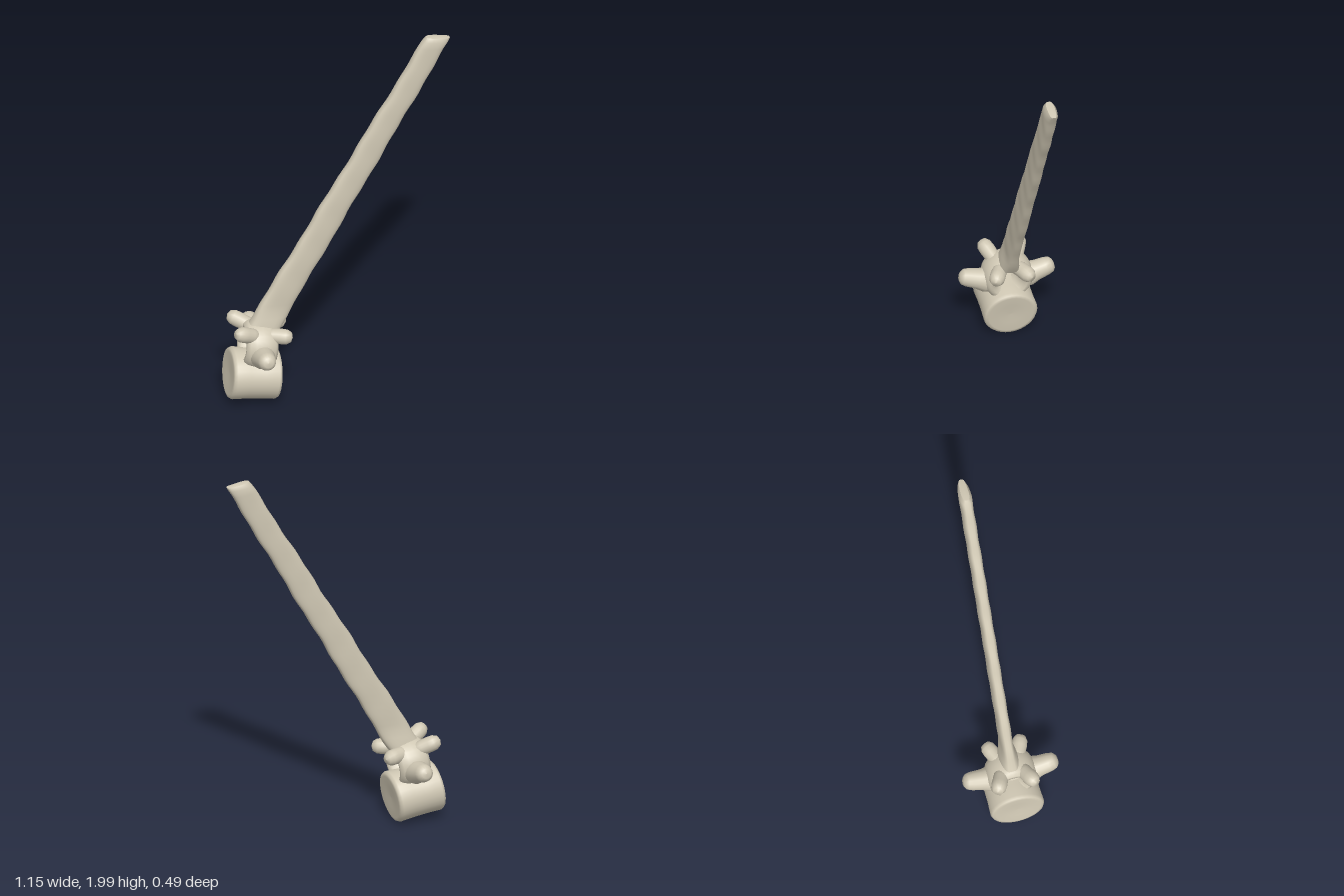
import * as THREE from 'three';

const bone = new THREE.MeshStandardMaterial({ color: 0xd0c8b4 });
bone.name = 'bone';
const V = (x, y, z) => new THREE.Vector3(x, y, z);

function add(group, name, geometry) {
  const mesh = new THREE.Mesh(geometry, bone);
  mesh.name = name;
  group.add(mesh);
  return mesh;
}

// Tapered knob turned around the line from a to b; profile is [radius, fraction of length]
function knob(group, name, a, b, profile) {
  const length = a.distanceTo(b);
  const points = profile.map(([r, t]) => new THREE.Vector2(r, t * length));
  const mesh = add(group, name, new THREE.LatheGeometry(points, 16));
  mesh.position.copy(a);
  mesh.quaternion.setFromUnitVectors(V(0, 1, 0), b.clone().sub(a).normalize());
  return mesh;
}

// Long flat blade lofted from rounded horizontal sections
function bladeGeometry() {
  const rings = 44, sides = 24, pos = [], index = [];
  const section = (t, thick, widthScale) => {
    const left = THREE.MathUtils.lerp(-0.485, 0.447, t);
    const right = THREE.MathUtils.lerp(-0.305, 0.573, t);
    const wobble = 0.005 * Math.sin(t * 41) * Math.sin(t * 17 + 1);
    const half = ((right - left) / 2) * widthScale;
    for (let j = 0; j < sides; j++) {
      const a = (j / sides) * Math.PI * 2, c = Math.cos(a), s = Math.sin(a);
      const u = Math.sign(c) * Math.abs(c) ** 0.8;
      const w = Math.sign(s) * Math.abs(s) ** 0.6;
      const dent = 1 + 0.05 * Math.sin(t * 60 + u * 3);
      pos.push(
        (left + right) / 2 + u * half + wobble,
        0.40 + 1.588 * t - u * 0.008 * t,
        -w * thick * dent
      );
    }
  };
  for (let i = 0; i <= rings; i++) {
    const t = (i / rings) * 0.988;
    section(t, 0.0315 + 0.02 * Math.max(0, 1 - t * 14), 1);
  }
  section(1, 0.02, 0.96);
  for (let i = 0; i <= rings; i++) {
    for (let j = 0; j < sides; j++) {
      const k = (j + 1) % sides;
      const a = i * sides + j, b = i * sides + k;
      index.push(a, b, a + sides, b, b + sides, a + sides);
    }
  }
  // top cap with its own vertices for a crisp edge
  const last = (rings + 1) * sides * 3;
  const rim = pos.slice(last, last + sides * 3);
  const start = pos.length / 3;
  pos.push(...rim, 0.51, 1.994, 0);
  for (let j = 0; j < sides; j++) index.push(start + j, start + ((j + 1) % sides), start + sides);
  const geometry = new THREE.BufferGeometry();
  geometry.setAttribute('position', new THREE.Float32BufferAttribute(pos, 3));
  geometry.setIndex(index);
  geometry.computeVertexNormals();
  return geometry;
}

export function createModel() {
  const group = new THREE.Group();
  group.name = 'vertebra';

  // Drum-shaped body lying along x, slightly waisted with soft rims
  const profile = [
    [0, -0.118], [0.06, -0.120], [0.112, -0.126], [0.128, -0.122], [0.136, -0.108],
    [0.133, -0.04], [0.133, 0.04], [0.136, 0.108], [0.128, 0.122], [0.112, 0.126],
    [0.06, 0.122], [0, 0.120],
  ].map(([r, y]) => new THREE.Vector2(r, y));
  const body = add(group, 'body', new THREE.LatheGeometry(profile, 32));
  body.geometry.rotateZ(-Math.PI / 2);
  body.geometry.scale(1, 0.96, 1.02);
  body.position.set(-0.44, 0.151, 0);
  body.rotation.z = -0.125;

  // Arch enclosing the canal above the body
  const arch = new THREE.TorusGeometry(0.094, 0.036, 14, 32);
  arch.rotateY(Math.PI / 2);
  arch.scale(2.3, 0.97, 1);
  const archMesh = add(group, 'neuralArch', arch);
  archMesh.position.set(-0.412, 0.322, 0);
  archMesh.rotation.z = -0.125;

  // Long slanted spine
  add(group, 'neuralSpine', bladeGeometry());

  // Paired processes on both sides
  const wing = [[0, -0.02], [0.06, 0], [0.063, 0.2], [0.052, 0.45], [0.047, 0.75], [0.04, 0.9], [0.024, 0.98], [0, 1]];
  const joint = [[0, -0.1], [0.04, 0], [0.038, 0.35], [0.04, 0.6], [0.038, 0.8], [0.025, 0.95], [0, 1]];
  for (const [side, s] of [['left', 1], ['right', -1]]) {
    knob(group, side + 'TransverseProcess', V(-0.412, 0.295, s * 0.08), V(-0.412, 0.345, s * 0.243), wing);
    knob(group, side + 'FrontJoint', V(-0.42, 0.385, s * 0.045), V(-0.546, 0.45, s * 0.1), joint);
    knob(group, side + 'RearJoint', V(-0.39, 0.385, s * 0.035), V(-0.255, 0.388, s * 0.095), joint);
  }
  return group;
}
